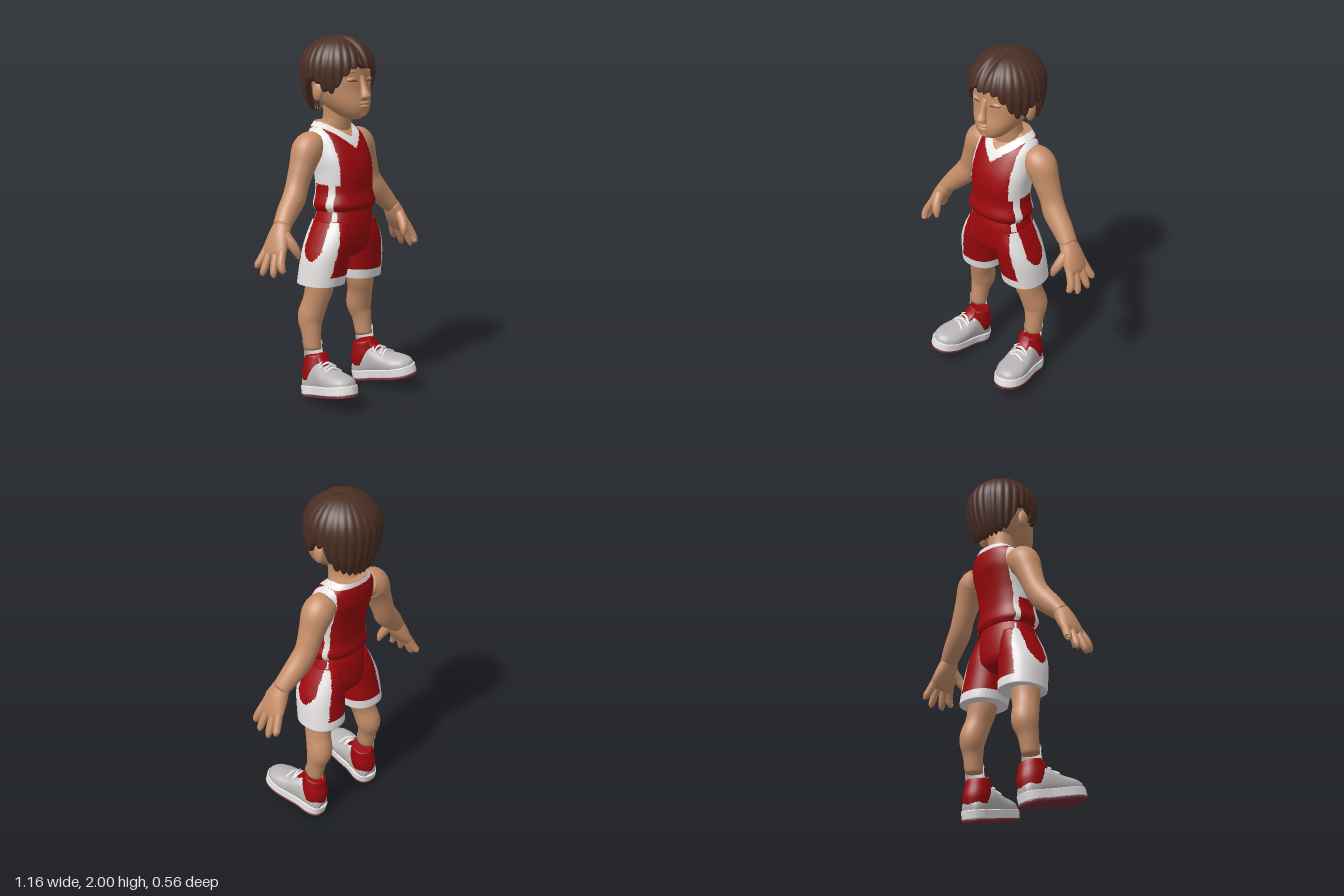
import * as THREE from 'three';

const mat = (name, color, double) => {
  const m = new THREE.MeshStandardMaterial({ color });
  m.name = name;
  if (double) m.side = THREE.DoubleSide;
  return m;
};
const V = (x, y, z) => new THREE.Vector3(x, y, z);

// Closed skin over rings of points, capped at both ends
function skinOver(rings, capStart = true, capEnd = true) {
  const n = rings[0].length, pos = [], idx = [];
  rings.forEach(r => r.forEach(p => pos.push(p.x, p.y, p.z)));
  for (let i = 0; i < rings.length - 1; i++) for (let j = 0; j < n; j++) {
    const a = i * n + j, b = i * n + (j + 1) % n;
    idx.push(a, b, a + n, b, b + n, a + n);
  }
  const cap = (row, flip) => {
    const c = V(0, 0, 0);
    rings[row].forEach(p => c.addScaledVector(p, 1 / n));
    const k = pos.length / 3;
    pos.push(c.x, c.y, c.z);
    for (let j = 0; j < n; j++) {
      const a = row * n + j, b = row * n + (j + 1) % n;
      flip ? idx.push(b, a, k) : idx.push(a, b, k);
    }
  };
  if (capStart) cap(0, true);
  if (capEnd) cap(rings.length - 1, false);
  const g = new THREE.BufferGeometry();
  g.setAttribute('position', new THREE.Float32BufferAttribute(pos, 3));
  g.setIndex(idx);
  g.computeVertexNormals();
  return g;
}

// Smooth body through sections [x, y, z, width radius, depth radius]
function loft(sections, { n = 24, seg = 6, e = 2, axis = null, ref = V(0, 0, 1) } = {}) {
  const spline = f => new THREE.CatmullRomCurve3(sections.map(f), false, 'catmullrom', 0.5);
  const path = spline(s => V(s[0], s[1], s[2])), size = spline(s => V(s[3], s[4] ?? s[3], 0));
  const rows = (sections.length - 1) * seg, rings = [];
  const pw = c => Math.sign(c) * Math.abs(c) ** (2 / e);
  for (let i = 0; i <= rows; i++) {
    const c = path.getPoint(i / rows), r = size.getPoint(i / rows);
    const t = axis || path.getTangent(i / rows);
    const u = ref.clone().cross(t).normalize(), v = t.clone().cross(u).normalize();
    rings.push(Array.from({ length: n }, (_, j) => {
      const a = j / n * Math.PI * 2;
      return c.clone().addScaledVector(u, r.x * pw(Math.cos(a))).addScaledVector(v, r.y * pw(Math.sin(a)));
    }));
  }
  return skinOver(rings);
}
const UP = V(0, 1, 0);

// Sort faces into material groups by a rule on the face centre
function paint(g, count, rule) {
  const p = g.attributes.position, ix = g.index.array, parts = Array.from({ length: count }, () => []);
  for (let i = 0; i < ix.length; i += 3) {
    const f = [ix[i], ix[i + 1], ix[i + 2]];
    const mid = k => (p[k](f[0]) + p[k](f[1]) + p[k](f[2])) / 3;
    parts[rule(Math.abs(mid('getX')), mid('getY'), mid('getZ'))].push(...f);
  }
  g.setIndex(parts.flat());
  let at = 0;
  parts.forEach((q, k) => { g.addGroup(at, q.length, k); at += q.length; });
  return g;
}

// Linear lookup in [key, value] pairs
function lookup(table, k) {
  for (let i = 1; i < table.length; i++) if (k <= table[i][0]) {
    const [a, b] = [table[i - 1], table[i]];
    return THREE.MathUtils.lerp(a[1], b[1], (k - a[0]) / (b[0] - a[0]));
  }
  return table[table.length - 1][1];
}

// Parted hair: strands run from the crown to an uneven lower edge
function hairGeometry() {
  const edge = [[0, 1.84], [0.35, 1.825], [0.62, 1.78], [0.95, 1.69], [1.25, 1.70], [1.5, 1.76],
    [1.8, 1.75], [2.05, 1.63], [2.5, 1.595], [3.15, 1.58]];
  const n = 168, m = 26, rings = [];
  for (let i = 0; i <= m + 1; i++) {
    const t = Math.max(0.02, Math.min(i / m, 1));
    rings.push(Array.from({ length: n }, (_, j) => {
      const a = -j / n * Math.PI * 2, strand = Math.abs(Math.sin(14 * a));
      const ye = lookup(edge, Math.min(-a, Math.PI * 2 + a)) + 0.02 * (1 - strand);
      let y = 2 - (2 - ye) * (1 - Math.cos(t * Math.PI / 2));
      const d = y - 1.82;
      let s = d > 0 ? Math.sqrt(1 - (d / 0.18) ** 2) : 1 - 0.33 * (d / 0.24) ** 2;
      s *= 1 - 0.05 * (1 - strand) * t;
      if (i > m) s *= 0.84;
      const x = 0.205 * s * Math.sin(a), z = -0.073 + 0.21 * s * Math.cos(a);
      y -= 0.025 * Math.exp(-((x / 0.02) ** 2)) * THREE.MathUtils.smoothstep(z, -0.14, 0);
      return V(x, y, z);
    }));
  }
  return skinOver(rings, true, false);
}

// Foot outline, extruded upward from y0
function soleGeometry(y0, depth, grow) {
  const half = [[0.045, -0.095], [0.068, -0.05], [0.068, 0.03], [0.08, 0.12], [0.084, 0.2], [0.06, 0.27]];
  const pts = [[0, -0.108], ...half, [0, 0.3], ...half.slice().reverse().map(([x, z]) => [-x, z])];
  const curve = new THREE.CatmullRomCurve3(pts.map(([x, z]) => V(x * grow, z, 0)), true);
  const shape = new THREE.Shape(curve.getPoints(56).slice(0, -1).map(p => new THREE.Vector2(p.x, p.y)));
  return new THREE.ExtrudeGeometry(shape, { depth, bevelSize: 0.004, bevelThickness: 0.004, bevelSegments: 2 })
    .rotateX(Math.PI / 2).translate(0, y0 + depth, 0);
}

export function createModel() {
  const skin = mat('skin', 0xc68e69), hair = mat('hair brown', 0x4a2e23, true), red = mat('jersey red', 0x9c080c);
  const white = mat('white trim', 0xe6e3e3), grey = mat('shoe grey', 0xbab6b6), outsole = mat('outsole red', 0x74303a);
  const model = new THREE.Group();
  const add = (name, geo, m, parent = model) => {
    const mesh = new THREE.Mesh(geo, m);
    mesh.name = name;
    parent.add(mesh);
    return mesh;
  };
  const ball = (name, m, x, y, z, rx, ry, rz) =>
    add(name, new THREE.SphereGeometry(1, 20, 14).scale(rx, ry, rz).translate(x, y, z), m);

  // Head, neck and face
  add('head', loft([[0, 1.55, 0.045, 0.03, 0.03], [0, 1.575, 0.035, 0.075, 0.08], [0, 1.63, -0.005, 0.12, 0.13],
    [0, 1.70, -0.04, 0.15, 0.152], [0, 1.77, -0.055, 0.163, 0.163], [0, 1.86, -0.065, 0.155, 0.165],
    [0, 1.93, -0.07, 0.1, 0.11]], { n: 40, axis: UP, e: 2.2 }), skin);
  add('neck', loft([[0, 1.40, -0.1, 0.1, 0.085], [0, 1.50, -0.09, 0.09, 0.085], [0, 1.56, -0.075, 0.08, 0.078],
    [0, 1.64, -0.07, 0.085, 0.08]], { axis: UP }), skin);
  add('nose', loft([[0, 1.655, 0.118, 0.022, 0.012], [0, 1.675, 0.135, 0.03, 0.027], [0, 1.72, 0.12, 0.018, 0.02],
    [0, 1.785, 0.1, 0.014, 0.012]], { axis: UP, n: 16 }), skin);
  ball('upperLip', skin, 0, 1.64, 0.12, 0.036, 0.009, 0.02);
  ball('lowerLip', skin, 0, 1.622, 0.12, 0.03, 0.01, 0.02);
  ball('chin', skin, 0, 1.583, 0.085, 0.045, 0.025, 0.037);
  add('hair', hairGeometry(), hair);

  // Jersey: skin in the open neckline, white collar, armholes and side piping
  const jersey = loft([[0, 1.055, -0.025, 0.172, 0.13], [0, 1.09, -0.022, 0.185, 0.143], [0, 1.16, -0.025, 0.167, 0.132],
    [0, 1.25, -0.029, 0.168, 0.137], [0, 1.33, -0.046, 0.176, 0.138], [0, 1.40, -0.071, 0.175, 0.132],
    [0, 1.46, -0.092, 0.168, 0.113], [0, 1.50, -0.112, 0.142, 0.087], [0, 1.535, -0.125, 0.1, 0.068]],
  { n: 120, seg: 10, e: 2.4, axis: UP });
  add('jersey', paint(jersey, 3, (x, y, z) => {
    const front = z > -0.1;
    if (front ? y > 1.45 + 0.75 * x : y > 1.532) return 2;
    if (front ? y > 1.39 + 0.85 * x : y > 1.505) return 1;
    if (y > 1.2) return x > (front ? 0.13 : 0.137) ? 1 : 0;
    return x > 0.1 && ((z > 0.01 && z < 0.05) || (z < -0.09 && z > -0.115)) ? 1 : 0;
  }), [red, white, skin]);

  // Shorts: white hem, and piping around a red side panel
  const shortsRule = (x, y, z) => {
    if (y < 0.7) return 1;
    if (x < 0.14 + 0.2 * (1.03 - y)) return 0;
    const w = 0.065 * Math.sqrt(Math.max(0, Math.min(1, (y - 0.79) / 0.06)));
    return Math.abs(z + 0.035) < w ? 0 : 1;
  };
  const shorts = (name, s) => add(name, paint(loft(s, { n: 80, seg: 12, e: 2.3, axis: UP }), 2, shortsRule), [red, white]);
  shorts('shortsSeat', [[0, 0.79, -0.04, 0.1, 0.08], [0, 0.84, -0.035, 0.18, 0.125], [0, 0.9, -0.03, 0.203, 0.138],
    [0, 1.0, -0.027, 0.175, 0.135], [0, 1.085, -0.025, 0.15, 0.115]]);

  for (const s of [1, -1]) {
    const side = s > 0 ? 'left' : 'right';
    const part = (name, sections, m, opt) =>
      add(side + name, loft(sections.map(([x, ...r]) => [x * s, ...r]), opt), m);

    // Eyes and ears
    ball(side + 'Eyelid', skin, s * 0.062, 1.765, 0.085, 0.033, 0.015, 0.022);
    part('EyeLine', [[0.036, 1.757, 0.107, 0.002], [0.062, 1.76, 0.106, 0.003], [0.088, 1.757, 0.093, 0.002]], hair,
      { n: 8, ref: UP });
    part('Brow', [[0.03, 1.795, 0.1, 0.004], [0.065, 1.808, 0.095, 0.007], [0.1, 1.797, 0.077, 0.004]], skin, { n: 8, ref: UP });
    ball(side + 'Ear', skin, s * 0.165, 1.70, -0.065, 0.02, 0.05, 0.033);

    // Arm with deltoid, elbow and forearm
    part('Arm', [[0.14, 1.42, -0.1, 0.07, 0.07], [0.205, 1.39, -0.1, 0.088, 0.085], [0.25, 1.30, -0.1, 0.071, 0.072],
      [0.29, 1.2, -0.1, 0.063, 0.062], [0.325, 1.135, -0.09, 0.066, 0.062], [0.385, 1.07, -0.078, 0.059, 0.057],
      [0.45, 1.0, -0.06, 0.044, 0.05]], skin);

    // Hand: palm, four spread fingers and thumb
    part('Palm', [[0.44, 1.015, -0.06, 0.044, 0.05], [0.475, 0.95, -0.055, 0.045, 0.07], [0.51, 0.885, -0.052, 0.032, 0.082],
      [0.525, 0.855, -0.052, 0.018, 0.066]], skin);
    [[0.006, 0.53, 0.79, 0.05], [-0.033, 0.56, 0.757, -0.005], [-0.072, 0.57, 0.757, -0.085], [-0.108, 0.56, 0.8, -0.145]]
      .forEach(([z, x, y, tz], i) => part('Finger' + (i + 1), [[0.505, 0.9, z, 0.022], [0.535, 0.84, z * 0.6 + tz * 0.4, 0.022],
        [(0.54 + x) / 2 + 0.006, (0.84 + y) / 2 - 0.015, z * 0.25 + tz * 0.75, 0.019], [x, y, tz, 0.009]], skin, { n: 12 }));
    part('Thumb', [[0.465, 0.97, -0.02, 0.03], [0.452, 0.92, 0.022, 0.027], [0.437, 0.88, 0.042, 0.022],
      [0.428, 0.845, 0.05, 0.01]], skin, { n: 12 });

    // Trouser leg, bare leg and sock
    shorts(side + 'ShortsLeg', [[0.15, 0.65, -0.058, 0.121, 0.128], [0.149, 0.665, -0.058, 0.122, 0.132], [0.136, 0.8, -0.04, 0.123, 0.135],
      [0.118, 0.9, -0.03, 0.105, 0.138], [0.095, 1.0, -0.027, 0.08, 0.12]].map(([x, ...r]) => [x * s, ...r]));
    part('Leg', [[0.155, 0.74, -0.055, 0.085, 0.085], [0.168, 0.63, -0.056, 0.079, 0.08], [0.184, 0.55, -0.07, 0.069, 0.073],
      [0.199, 0.46, -0.093, 0.07, 0.074], [0.209, 0.38, -0.08, 0.054, 0.058], [0.212, 0.28, -0.065, 0.045, 0.05]], skin);
    part('Sock', [[0.213, 0.335, -0.068, 0.046, 0.048], [0.213, 0.325, -0.068, 0.053, 0.057], [0.213, 0.29, -0.063, 0.049, 0.054],
      [0.213, 0.24, -0.056, 0.051, 0.056], [0.213, 0.16, -0.05, 0.05, 0.055]], white, { axis: UP });

    // Shoe, toe raised and turned out
    const shoe = new THREE.Group();
    shoe.name = side + 'Shoe';
    shoe.rotation.set(-0.23, s * 0.15, s * 0.07, 'YXZ');
    shoe.position.set(s * 0.219, 0.028, -0.01);
    model.add(shoe);
    add('outsole', soleGeometry(0, 0.008, 0.97), outsole, shoe);
    add('midsole', soleGeometry(0.015, 0.04, 1), white, shoe);
    const upper = [[-0.098, 0.04, 0.09], [-0.07, 0.06, 0.12], [0, 0.069, 0.165], [0.05, 0.073, 0.182], [0.1, 0.079, 0.163],
      [0.15, 0.084, 0.135], [0.21, 0.083, 0.115], [0.265, 0.06, 0.097], [0.292, 0.025, 0.075]];
    add('upper', loft(upper.map(([z, w, h]) => [0, h / 2 + 0.01, z, w, h / 2 - 0.005]),
      { n: 32, axis: V(0, 0, 1), ref: UP, e: 2.3 }), grey, shoe);
    add('collar', loft([[0, 0.09, -0.022, 0.068, 0.078], [0, 0.14, -0.014, 0.072, 0.082], [0, 0.19, -0.002, 0.066, 0.072],
      [0, 0.222, 0.004, 0.061, 0.064], [0, 0.226, 0.004, 0.05, 0.052]], { axis: UP }), red, shoe);
    add('tongue', loft([[0, 0.16, 0.1, 0.035, 0.012], [0, 0.19, 0.07, 0.038, 0.014], [0, 0.235, 0.058, 0.034, 0.01]]), red, shoe);
    for (let i = 0; i < 4; i++) {
      const z = 0.075 + i * 0.024, y = 0.185 - i * 0.013, w = 0.05, k = i % 2 ? 0.01 : -0.01;
      add('lace' + (i + 1), loft([[-w, y - 0.018, z - k, 0.007], [0, y + 0.006, z, 0.008], [w, y - 0.018, z + k, 0.007]],
        { n: 8, ref: UP }), white, shoe);
    }
  }
  return model;
}
